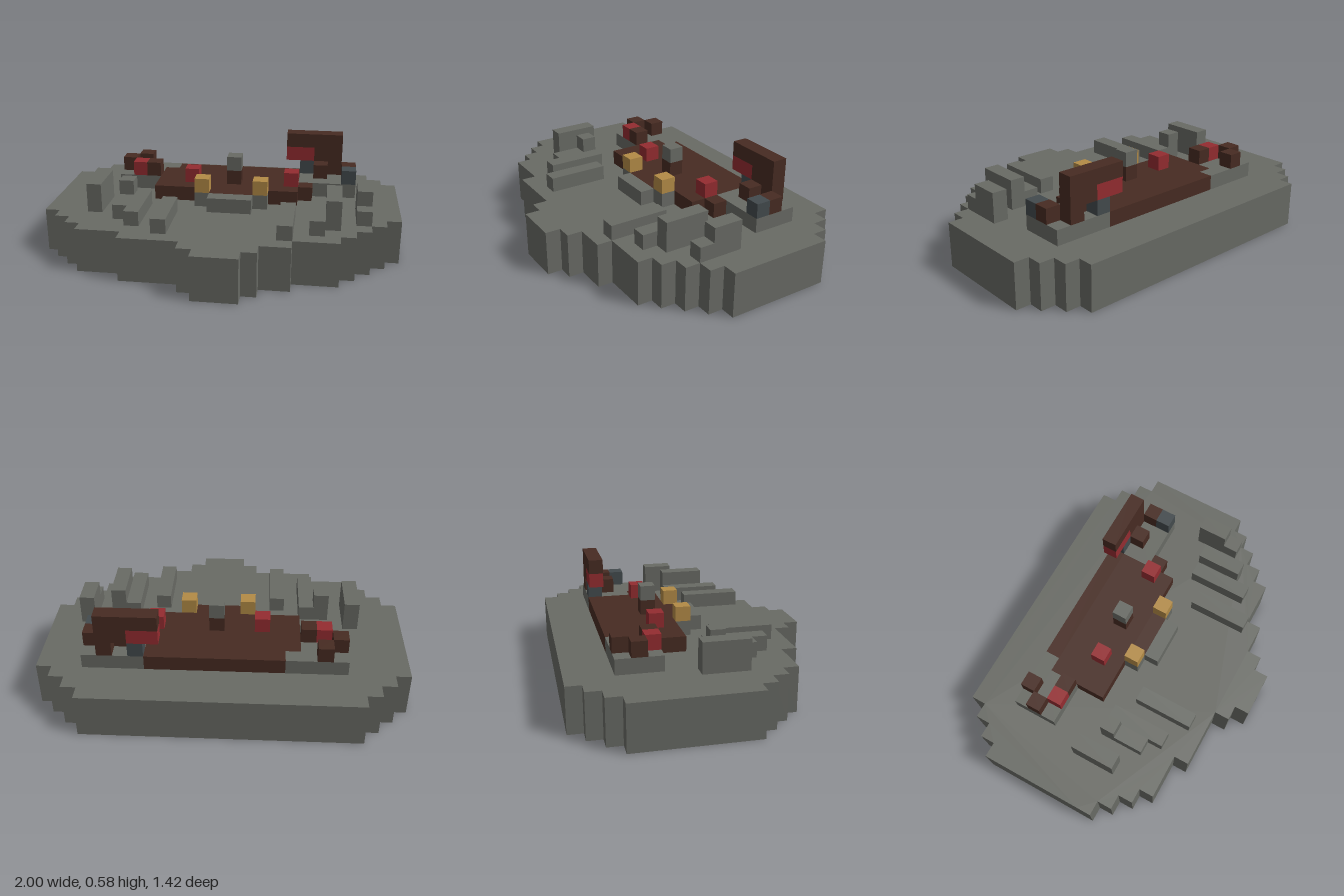
import * as THREE from 'three';

const U = 1 / 12; // one block
const paint = (name, color) => {
  const m = new THREE.MeshStandardMaterial({ color });
  m.name = name;
  return m;
};

export function createModel() {
  const model = new THREE.Group();
  model.name = 'stoneTerrace';
  const stone = paint('stone grey', 0x686a64);
  const wood = paint('dark wood', 0x472b22);
  const red = paint('red cloth', 0x942c30);
  const gold = paint('gold', 0xb38b46);
  const slate = paint('slate', 0x434a4d);

  // Box filling block columns x0..x1, layers y0..y1 and rows z0..z1 (row 0 is the back)
  function block(name, mat, x0, x1, y0, y1, z0, z1) {
    const mesh = new THREE.Mesh(new THREE.BoxGeometry((x1 - x0) * U, (y1 - y0) * U, (z1 - z0) * U), mat);
    mesh.position.set(((x0 + x1) / 2 - 12) * U, ((y0 + y1) / 2) * U, ((z0 + z1) / 2 - 8.5) * U);
    mesh.name = name;
    model.add(mesh);
  }
  const cube = (name, mat, x, y, z) => block(name, mat, x, x + 1, y, y + 1, z, z + 1);

  // Stepped base: [left, right, front row] for each band, from back to front
  const bands = [
    [3, 21, 1], [2, 22, 2], [1, 23, 3], [0, 24, 10], [0, 23, 11], [1, 22, 12],
    [2, 21, 13], [3, 20, 14], [6, 17, 15], [10, 15, 16], [11, 14, 17],
  ];
  const right = [], left = [];
  let back = 0;
  for (const [a, b, front] of bands) {
    right.push([b, back], [b, front]);
    left.push([a, back], [a, front]);
    back = front;
  }
  const outline = [...right, ...left.reverse()].map(([x, z]) => new THREE.Vector2((x - 12) * U, (8.5 - z) * U));
  const baseGeo = new THREE.ExtrudeGeometry(new THREE.Shape(outline), { depth: 3 * U, bevelEnabled: false });
  baseGeo.rotateX(-Math.PI / 2);
  const base = new THREE.Mesh(baseGeo, stone);
  base.name = 'base';
  model.add(base);

  // Wooden floor with front tongue and side step
  block('floorBack', wood, 8, 17, 3, 4, 3, 4);
  block('floor', wood, 7, 17, 3, 4, 4, 8);
  block('floorTongue', wood, 11, 14, 3, 4, 8, 9);
  cube('sideStep', wood, 17, 3, 6);
  block('frontStep', stone, 11, 14, 3, 4, 9, 10);

  // Gold lamps on stone feet, red seats, central post
  for (const x of [10, 14]) {
    cube('lampFoot', stone, x, 3, 8);
    cube('lamp', gold, x, 4, 8);
  }
  for (const x of [9, 16]) cube('seat', red, x, 4, 6);
  cube('postStem', wood, 12, 4, 6);
  cube('postCap', stone, 12, 5, 6);

  // Stone corner slab on the -x side with its small blocks
  block('rightSlabBack', stone, 4, 8, 3, 4, 3, 4);
  block('rightSlab', stone, 4, 7, 3, 4, 4, 6);
  cube('crate', wood, 5, 4, 3);
  cube('crate', wood, 4, 4, 4);
  cube('crate', wood, 6, 4, 5);
  cube('cushion', red, 5, 4, 5);

  // Stone corner slab on the +x side with its small blocks
  block('leftSlab', stone, 17, 21, 3, 4, 3, 6);
  cube('crate', wood, 18, 4, 4);
  cube('crate', wood, 20, 4, 4);
  cube('slateBlock', slate, 20, 4, 5);

  // Raised screen with red panel
  block('screenTop', wood, 16, 20, 6, 7, 3, 4);
  block('screenPanel', red, 16, 18, 5, 6, 3, 4);
  block('screenSide', wood, 18, 20, 5, 6, 3, 4);
  cube('screenLeg', wood, 19, 4, 3);
  cube('screenFoot', slate, 17, 4, 3);

  // Stone benches: [x, height, back row, front row]
  const benches = [
    [3, 2, 8, 11], [5, 2, 9, 10], [5, 1, 10, 12], [6, 1, 9, 13], [8, 1, 10, 14],
    [16, 1, 10, 14], [18, 1, 9, 13], [19, 2, 9, 12], [21, 2, 8, 10], [21, 1, 10, 11],
  ];
  for (const [x, h, z0, z1] of benches) block('bench', stone, x, x + 1, 3, 3 + h, z0, z1);

  return model;
}
